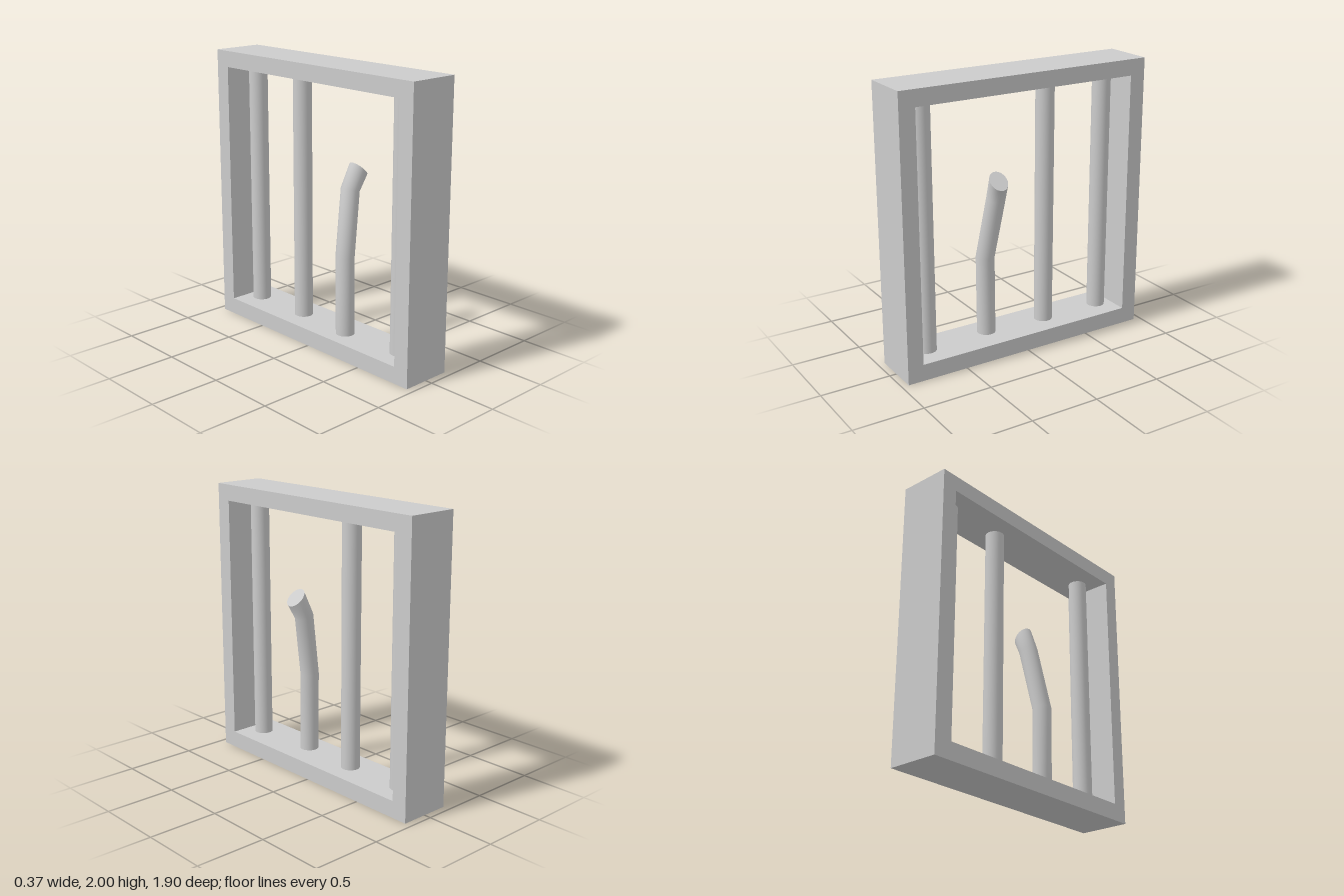
import * as THREE from 'three';

const BAR_RADIUS = 0.066;
const SILL = 0.12, LINTEL = 1.885;

// Rectangle outline in the (z, y) plane
function rectangle(path, halfWidth, bottom, top) {
  path.moveTo(-halfWidth, bottom);
  path.lineTo(halfWidth, bottom);
  path.lineTo(halfWidth, top);
  path.lineTo(-halfWidth, top);
  path.closePath();
  return path;
}

// Rectangular surround with an open window, extruded along x
function frameGeometry() {
  const shape = rectangle(new THREE.Shape(), 0.95, 0, 2);
  shape.holes.push(rectangle(new THREE.Path(), 0.835, SILL, LINTEL));
  const geometry = new THREE.ExtrudeGeometry(shape, { depth: 0.37, bevelEnabled: false });
  geometry.translate(0, 0, -0.185);
  geometry.rotateY(Math.PI / 2);
  return geometry;
}

// Broken bar: each ring of a cylinder is moved to its own centre and tilted about z
function bentBarGeometry() {
  const rings = [
    { centre: [-0.03, SILL, 0.22], tilt: 0 },
    { centre: [-0.035, 0.69, 0.22], tilt: 0.05 },
    { centre: [0.05, 1.14, 0.18], tilt: 0.28 },
    { centre: [0.112, 1.277, 0.195], tilt: 0.75 },
  ];
  const geometry = new THREE.CylinderGeometry(BAR_RADIUS, BAR_RADIUS, 1, 32, rings.length - 1);
  const position = geometry.attributes.position;
  for (let i = 0; i < position.count; i++) {
    const x = position.getX(i), z = position.getZ(i);
    const ring = rings[Math.round((position.getY(i) + 0.5) * (rings.length - 1))];
    const [cx, cy, cz] = ring.centre;
    // The torn end is cut obliquely, so it is slightly longer than the bar is wide
    const stretch = ring.tilt > 0.5 ? 1.15 : 1;
    position.setXYZ(
      i,
      cx + x * stretch * Math.cos(ring.tilt),
      cy - x * stretch * Math.sin(ring.tilt),
      cz + z,
    );
  }
  geometry.computeVertexNormals();
  return geometry;
}

export function createModel() {
  const group = new THREE.Group();
  const material = new THREE.MeshStandardMaterial({ color: 0xcccccc });

  const add = (name, geometry) => {
    const mesh = new THREE.Mesh(geometry, material);
    mesh.name = name;
    group.add(mesh);
    return mesh;
  };

  add('windowFrame', frameGeometry());

  // Intact upright bars
  const barGeometry = new THREE.CylinderGeometry(BAR_RADIUS, BAR_RADIUS, LINTEL - SILL, 32);
  [['frontBar', 0.71], ['middleBar', -0.245], ['rearBar', -0.72]].forEach(([name, z]) => {
    add(name, barGeometry).position.set(0, (SILL + LINTEL) / 2, z);
  });

  add('bentBar', bentBarGeometry());
  return group;
}
